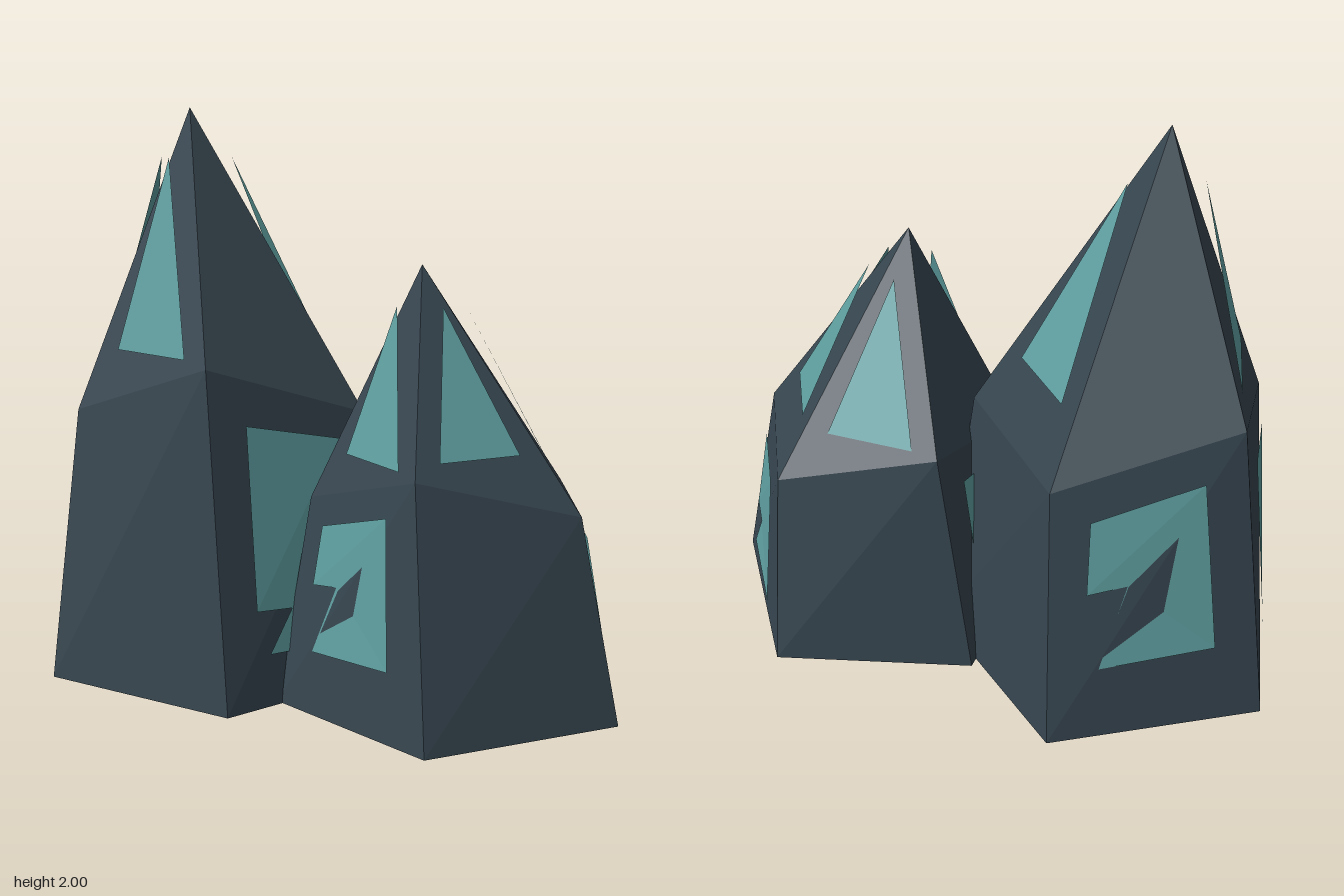
import * as THREE from 'three';

const rockMaterial = new THREE.MeshStandardMaterial({ color: 0x36454f, flatShading: true, side: THREE.DoubleSide });
const panelMaterial = new THREE.MeshStandardMaterial({ color: 0x5f9ea0, flatShading: true, side: THREE.DoubleSide });

const SIDES = 5;
const mix = (a, b, t) => a.clone().lerp(b, t);

// five points round an axis; heights is called with the corner number
function ring(cx, cz, radius, degrees, heights) {
  return Array.from({ length: SIDES }, (_, i) => {
    const a = THREE.MathUtils.degToRad(degrees + i * 360 / SIDES);
    return new THREE.Vector3(cx + radius * Math.cos(a), heights(i), cz + radius * Math.sin(a));
  });
}

function mesh(name, points, material) {
  const geometry = new THREE.BufferGeometry().setFromPoints(points);
  geometry.computeVertexNormals();
  const m = new THREE.Mesh(geometry, material);
  m.name = name;
  return m;
}

// outward horizontal direction of a face, from its left to its right corner
function outward(left, right) {
  return new THREE.Vector3(left.z - right.z, 0, right.x - left.x).normalize();
}

// notched panel laid over a wall
function wallPanel(bl, br, tl, tr, bottom, notch) {
  const outline = [[0.2, 0.86], [0.78, 0.88], [0.79, bottom], [0.235, bottom], [0.38, notch], [0.18, notch]];
  const shape = new THREE.Shape(outline.map(([u, v]) => new THREE.Vector2(u, v)));
  const flat = new THREE.ShapeGeometry(shape).toNonIndexed().attributes.position;
  const out = outward(bl, br).multiplyScalar(0.02);
  const points = [];
  for (let k = 0; k < flat.count; k++) {
    const u = flat.getX(k), v = flat.getY(k);
    points.push(mix(mix(bl, br, u), mix(tl, tr, u), v).add(out));
  }
  return mesh('wallPanel', points, panelMaterial);
}

// triangular panel with a level base, its tip standing a little off the roof
function roofPanel(left, right, apex, baseY, tipY) {
  const slice = (p, y) => mix(p, apex, (y - p.y) / (apex.y - p.y));
  const l = slice(left, baseY), r = slice(right, baseY);
  const out = outward(l, r);
  const tip = mix(slice(left, tipY), slice(right, tipY), 0.5).addScaledVector(out, 0.058);
  const corners = [mix(l, r, 0.18), mix(r, l, 0.18)].map(p => p.addScaledVector(out, 0.005));
  return mesh('roofPanel', [...corners, tip], panelMaterial);
}

function crystal({ name, x, z, baseRadius, baseAngle, shoulderRadius, shoulderAngle, low, high, apex, walls, roofs }) {
  const group = new THREE.Group();
  group.name = name;
  const base = ring(x, z, baseRadius, baseAngle, () => 0);
  const shoulder = ring(x, z, shoulderRadius, shoulderAngle, i => (i % 2 ? high : low));
  const tip = new THREE.Vector3(...apex);

  // open-bottomed shell: twisted walls and a pointed roof
  const points = [];
  for (let i = 0; i < SIDES; i++) {
    const j = (i + 1) % SIDES;
    points.push(base[j], base[i], shoulder[i], base[j], shoulder[i], shoulder[j]);
    points.push(shoulder[j], shoulder[i], tip);
  }
  group.add(mesh('shell', points, rockMaterial));

  // bottom and notch heights of the panel on each wall
  const cuts = [[0.165, 0.3], [0.29, 0.59], [0.165, 0.3], [0.29, 0.59], [0.19, 0.41]];
  for (const i of walls) {
    const j = (i + 1) % SIDES;
    group.add(wallPanel(base[j], base[i], shoulder[j], shoulder[i], ...cuts[i]));
  }
  for (const i of roofs) {
    const j = (i + 1) % SIDES;
    const start = i === 0 || i === 2 ? 0.25 : 0.21;
    const rise = tip.y - low;
    group.add(roofPanel(shoulder[j], shoulder[i], tip, low + start * rise, low + 0.837 * rise));
  }
  return group;
}

export function createModel() {
  const model = new THREE.Group();
  model.name = 'crystalPair';
  model.add(crystal({
    name: 'tallCrystal', x: -0.47, z: -0.1,
    baseRadius: 0.655, baseAngle: 0, shoulderRadius: 0.53, shoulderAngle: 6.5,
    low: 0.95, high: 1.15, apex: [-0.57, 2, -0.04],
    walls: [0, 2, 3], roofs: [1, 2, 4],
  }));
  model.add(crystal({
    name: 'shortCrystal', x: 0.41, z: 0.11,
    baseRadius: 0.605, baseAngle: 15.5, shoulderRadius: 0.485, shoulderAngle: 22,
    low: 0.7, high: 0.85, apex: [0.305, 1.49, 0.17],
    walls: [1, 2, 4], roofs: [0, 1, 3, 4],
  }));
  return model;
}
